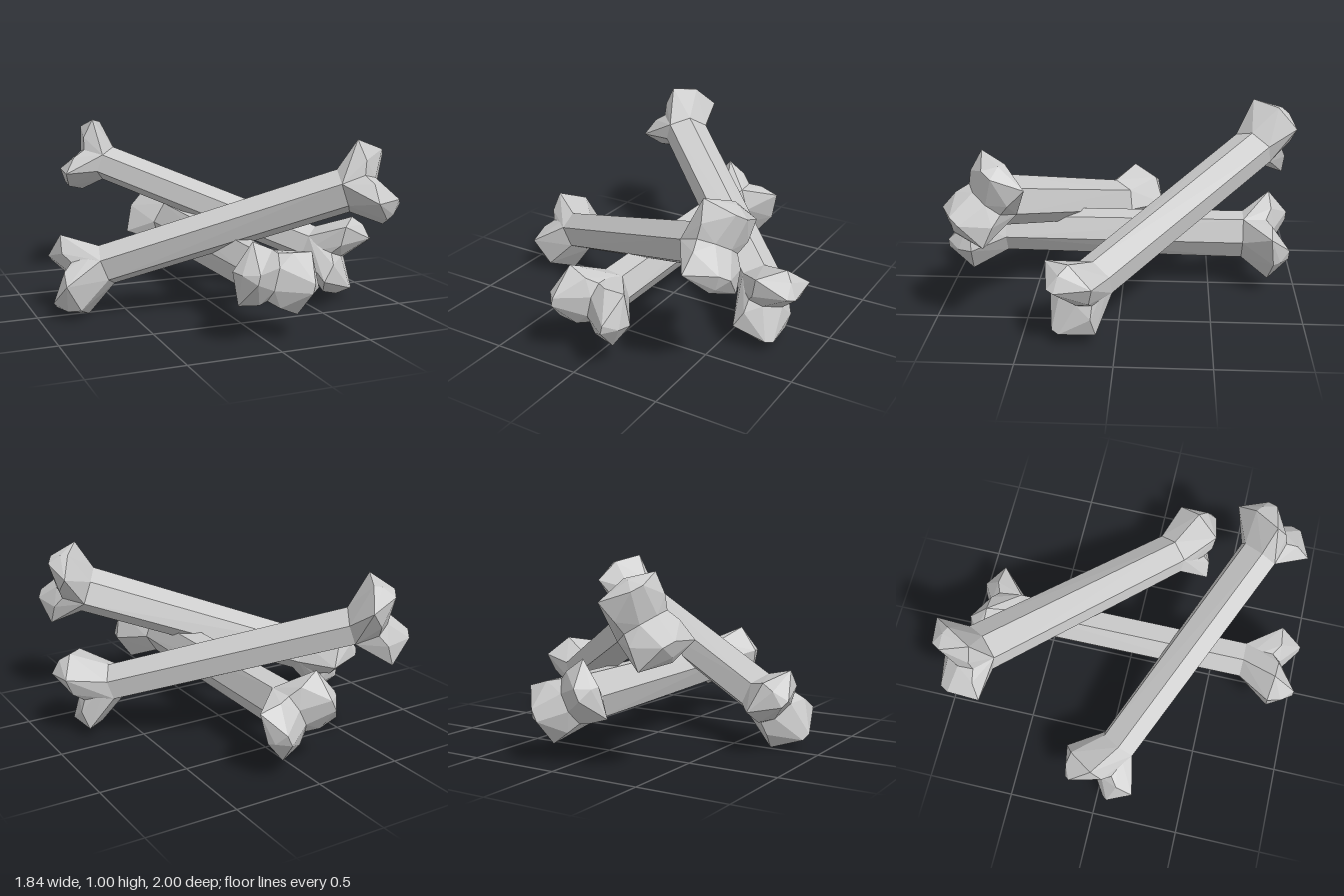
import * as THREE from 'three';
import { ConvexGeometry } from 'three/addons/geometries/ConvexGeometry.js';

const material = new THREE.MeshStandardMaterial({ color: 0xcccccc, flatShading: true });
const vec = (a) => new THREE.Vector3(...a);

const SHAFT_ROLL = 0.22; // roll of the six-sided shaft against the knuckles
const END_TWIST = 0.11;  // each end is turned a little the opposite way

// Knuckles as [sideways, thickness, outward], mirrored in thickness
const SHORT_END = {
  name: 'short', dir: -1, rim: [0.108, 0.142],
  knuckle: [
    [0, 0.125, 0.13], [0, 0.05, 0.18],      // valley between the knuckles
    [0.07, 0.145, 0.16], [0.19, 0.165, 0.15], // shoulders
    [0.23, 0, 0.17], [0.21, 0, 0.21],       // outer corner
    [0.15, 0.035, 0.262],                   // tip
  ],
};
const LONG_END = {
  name: 'long', dir: 1, rim: [0.108, 0.128],
  knuckle: [
    [0, 0.125, 0.16], [0, 0.06, 0.21],
    [0.06, 0.145, 0.2], [0.17, 0.165, 0.19],
    [0.237, 0, 0.18], [0.218, 0, 0.255],
    [0.155, 0.025, 0.322],
  ],
};

function hull(name, points) {
  const mesh = new THREE.Mesh(new ConvexGeometry(points), material);
  mesh.name = name;
  return mesh;
}

// A bone whose shaft runs from its short end to its long end; side is the way its knuckles spread
function makeBone(name, shortEnd, longEnd, side) {
  const bone = new THREE.Group();
  bone.name = name;
  const a = vec(shortEnd), b = vec(longEnd);
  const axis = b.clone().sub(a).normalize();
  const u = vec(side);
  u.addScaledVector(axis, -u.dot(axis)).normalize();

  // Six-sided shaft, slightly oval
  const rimU = u.clone().applyAxisAngle(axis, SHAFT_ROLL);
  const rimV = axis.clone().cross(rimU);
  const ring = (center, [ru, rv]) => Array.from({ length: 6 }, (_, k) =>
    center.clone()
      .addScaledVector(rimU, ru * Math.cos(k * Math.PI / 3))
      .addScaledVector(rimV, rv * Math.sin(k * Math.PI / 3)));
  bone.add(hull('shaft', [...ring(a, SHORT_END.rim), ...ring(b, LONG_END.rim)]));

  // Two knuckles on each end
  for (const [center, end] of [[a, SHORT_END], [b, LONG_END]]) {
    const across = u.clone().applyAxisAngle(axis, end.dir * END_TWIST);
    const thick = axis.clone().cross(across);
    for (const s of [1, -1]) {
      // shaft rim without the corner that belongs to the other knuckle
      const points = ring(center, end.rim).filter((p) =>
        p.clone().sub(center).dot(across) * s > -0.095);
      for (const [x, y, z] of end.knuckle) {
        for (const t of y ? [1, -1] : [1]) {
          points.push(center.clone()
            .addScaledVector(across, s * x)
            .addScaledVector(thick, t * y)
            .addScaledVector(axis, end.dir * z));
        }
      }
      bone.add(hull(end.name + (s > 0 ? 'KnuckleA' : 'KnuckleB'), points));
    }
  }
  return bone;
}

export function createModel() {
  const group = new THREE.Group();
  group.name = 'bonePile';
  group.add(
    makeBone('straightBone', [0.02, 0.315, -0.685], [0.025, 0.325, 0.67], [0.94, -0.34, 0]),
    makeBone('frontBone', [0.54, 0.7, 0.62], [-0.62, 0.275, 0.07], [-0.012, 0.235, -0.218]),
    makeBone('rearBone', [-0.365, 0.715, -0.76], [0.612, 0.3, 0.115], [0.13, 0.245, -0.01]),
  );
  return group;
}
